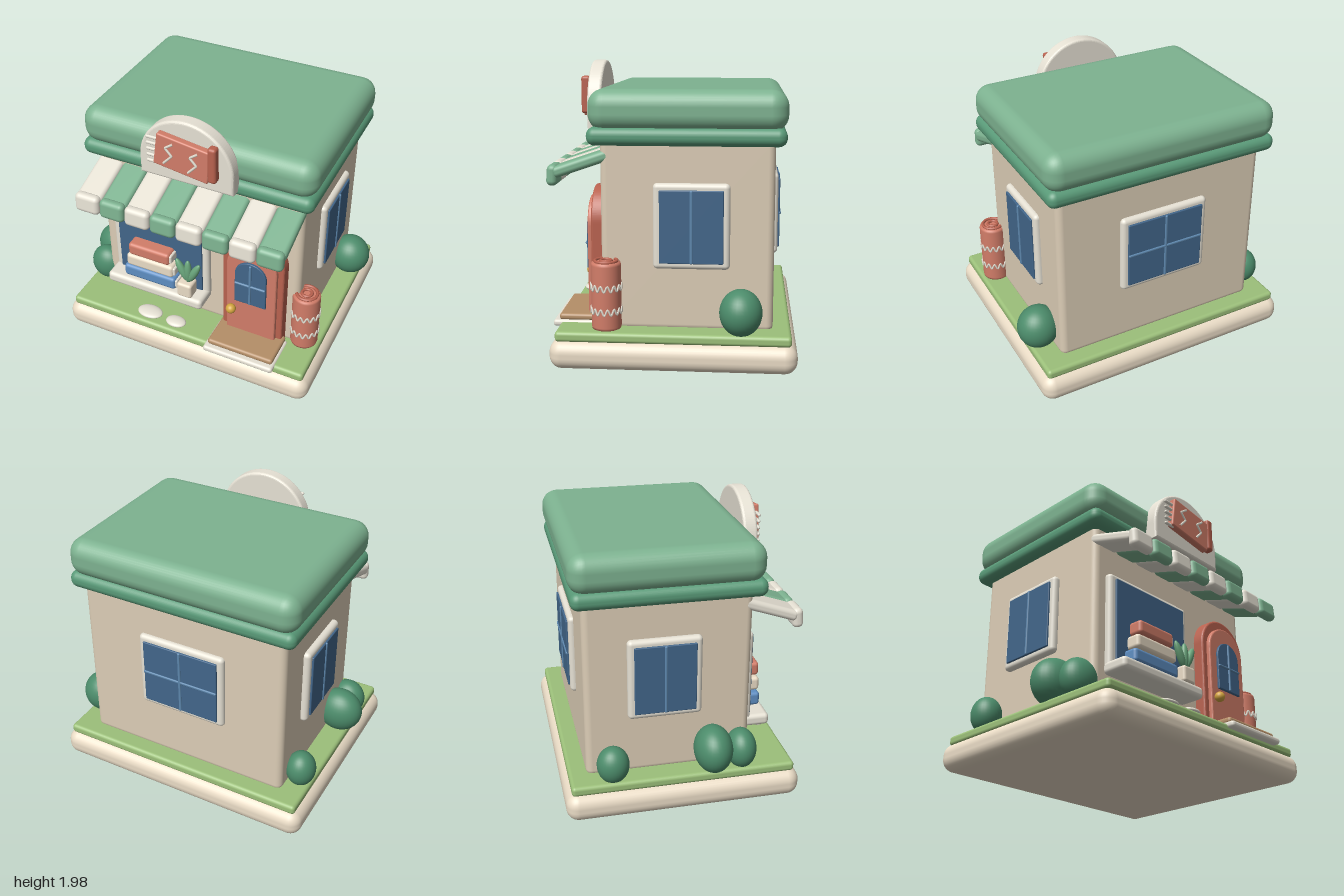
import * as THREE from 'three';
import { RoundedBoxGeometry } from 'three/addons/geometries/RoundedBoxGeometry.js';

const COLORS = {
  cream: 0xeadcc6, wall: 0xdccdb6, grass: 0x9cc07a, roof: 0x7db290, trim: 0x599a78,
  white: 0xe6e1d4, salmon: 0xd27d69, brick: 0xb9624f, glass: 0x42668a, bar: 0x5d87ad,
  gold: 0xd5a640, brown: 0xb58f68, bush: 0x4c8c6b, leaf: 0x6aa67c, blue: 0x5e8ec2,
};
const mats = {};
for (const k in COLORS) mats[k] = new THREE.MeshStandardMaterial({ color: COLORS[k] });

function add(parent, name, geo, color, x = 0, y = 0, z = 0) {
  const m = new THREE.Mesh(geo, mats[color]);
  m.name = name;
  m.position.set(x, y, z);
  parent.add(m);
  return m;
}

function group(parent, name, x = 0, y = 0, z = 0, ry = 0) {
  const g = new THREE.Group();
  g.name = name;
  g.position.set(x, y, z);
  g.rotation.y = ry;
  parent.add(g);
  return g;
}

// Rounded box given by its extents on each axis
function block(parent, name, color, [x0, x1], [y0, y1], [z0, z1], r) {
  const geo = new RoundedBoxGeometry(x1 - x0, y1 - y0, z1 - z0, 4, r);
  return add(parent, name, geo, color, (x0 + x1) / 2, (y0 + y1) / 2, (z0 + z1) / 2);
}

function ellipsoid(parent, name, color, [x, y, z], [rx, ry, rz]) {
  const m = add(parent, name, new THREE.SphereGeometry(1, 32, 20), color, x, y, z);
  m.scale.set(rx, ry, rz);
  return m;
}

// Round-topped slab, from y0 to y1 and z0 to z1, with a soft bevel inside those limits
function arch(parent, name, color, cx, width, y0, y1, z0, z1, bevel) {
  const r = width / 2 - bevel, cy = y1 - width / 2;
  const s = new THREE.Shape();
  s.moveTo(-r, y0 + bevel);
  s.lineTo(r, y0 + bevel);
  s.lineTo(r, cy);
  s.absarc(0, cy, r, 0, Math.PI, false);
  s.closePath();
  const geo = new THREE.ExtrudeGeometry(s, {
    depth: z1 - z0 - 2 * bevel, bevelThickness: bevel, bevelSize: bevel, bevelSegments: 4, curveSegments: 32,
  });
  return add(parent, name, geo, color, cx, 0, z0 + bevel);
}

// Framed window facing local +z; the wall lies at z = 0
function paneWindow(parent, name, w, h, cross) {
  block(parent, name + 'Frame', 'white', [-w / 2, w / 2], [-h / 2, h / 2], [-0.03, 0.035], 0.03);
  const gw = w / 2 - 0.042, gh = h / 2 - 0.042;
  block(parent, name + 'Glass', 'glass', [-gw, gw], [-gh, gh], [0, 0.048], 0.006);
  block(parent, name + 'UprightBar', 'bar', [-0.01, 0.01], [-gh, gh], [0.03, 0.056], 0.008);
  if (cross) block(parent, name + 'CrossBar', 'bar', [-gw, gw], [-0.01, 0.01], [0.03, 0.056], 0.008);
}

function tube(parent, name, color, pts, r, closed = false, segs = 48) {
  const curve = new THREE.CatmullRomCurve3(pts, closed, 'catmullrom', closed ? 0.5 : 0.1);
  return add(parent, name, new THREE.TubeGeometry(curve, segs, r, 6, closed), color);
}

function buildShell(root) {
  block(root, 'base', 'cream', [-0.96, 0.97], [0, 0.195], [-0.82, 0.8], 0.085);
  block(root, 'lawn', 'grass', [-0.915, 0.93], [0.185, 0.255], [-0.78, 0.76], 0.025);
  block(root, 'walls', 'wall', [-0.755, 0.77], [0.23, 1.5], [-0.66, 0.47], 0.045);
  block(root, 'roofTrim', 'trim', [-0.835, 0.845], [1.46, 1.58], [-0.73, 0.55], 0.055);
  block(root, 'roof', 'roof', [-0.84, 0.85], [1.55, 1.82], [-0.738, 0.545], 0.11);
}

function buildAwning(root) {
  const awning = group(root, 'awning');
  const step = 1.525 / 8;
  for (let i = 0; i < 8; i++) {
    const x = -0.755 + step * (i + 0.5), color = i % 2 ? 'roof' : 'white';
    const slope = add(awning, 'awningStripe', new RoundedBoxGeometry(step, 0.075, 0.4, 4, 0.03), color, x, 1.335, 0.595);
    slope.rotation.x = 0.33;
    const flap = add(awning, 'awningFlap', new RoundedBoxGeometry(step - 0.006, 0.14, 0.075, 4, 0.034), color, x, 1.257, 0.787);
    flap.rotation.x = -0.08;
  }
}

function buildSign(root) {
  const sign = group(root, 'sign');
  arch(sign, 'signBoard', 'white', 0.005, 0.67, 1.515, 1.98, 0.525, 0.625, 0.018);
  const cover = group(sign, 'signBook', 0.005, 1.742, 0.65);
  cover.rotation.z = -0.14;
  block(cover, 'signCover', 'salmon', [-0.195, 0.195], [-0.12, 0.12], [-0.03, 0.022], 0.012);
  for (const x of [-0.095, 0.08]) {
    const pts = [[0.025, 0.085], [-0.025, 0.035], [0.025, -0.01], [-0.025, -0.085]]
      .map(([px, py]) => new THREE.Vector3(x + px, py, 0.024));
    tube(cover, 'signZigzag', 'white', pts, 0.009);
  }
  block(sign, 'signSpine', 'brick', [0.183, 0.243], [1.615, 1.875], [0.615, 0.68], 0.02);
  for (let i = 0; i < 5; i++) {
    const page = add(sign, 'signPage', new THREE.CapsuleGeometry(0.011, 0.07, 4, 10), 'white', -0.215, 1.832 - i * 0.045, 0.65);
    page.rotation.z = Math.PI / 2;
  }
}

function buildShopWindow(root) {
  const shop = group(root, 'shopWindow');
  block(shop, 'shopFrame', 'white', [-0.66, 0.1], [0.45, 1.145], [0.44, 0.515], 0.03);
  block(shop, 'shopGlass', 'glass', [-0.61, 0.055], [0.49, 1.11], [0.47, 0.527], 0.006);
  block(shop, 'shopSill', 'white', [-0.665, 0.1], [0.425, 0.51], [0.45, 0.65], 0.03);
  // Stack of books
  [['blue', -0.535, -0.12, 0.515], ['cream', -0.51, -0.135, 0.622], ['salmon', -0.488, -0.16, 0.728]].forEach(([c, x0, x1, y]) => {
    block(shop, 'bookCover', c, [x0, x1], [y, y + 0.1], [0.5, 0.62], 0.025);
    block(shop, 'bookPages', 'white', [x1 - 0.05, x1 + 0.014], [y + 0.016, y + 0.084], [0.515, 0.605], 0.012);
  });
  // Potted plant
  block(shop, 'plantPot', 'cream', [-0.092, 0.022], [0.505, 0.625], [0.535, 0.645], 0.02);
  for (const s of [-1, 0, 1]) {
    const leaf = ellipsoid(shop, 'plantLeaf', 'leaf', [-0.022 + s * 0.047, 0.715, 0.59], [0.028, 0.1, 0.026]);
    leaf.rotation.z = -s * 0.45;
  }
}

function buildDoor(root) {
  const door = group(root, 'door');
  const cx = 0.457;
  arch(door, 'doorFrame', 'brick', cx, 0.455, 0.25, 1.157, 0.44, 0.55, 0.015);
  arch(door, 'doorPanel', 'salmon', cx, 0.37, 0.27, 1.085, 0.48, 0.58, 0.012);
  arch(door, 'doorGlass', 'glass', cx, 0.232, 0.595, 0.967, 0.55, 0.597, 0.006);
  block(door, 'doorUprightBar', 'bar', [cx - 0.009, cx + 0.009], [0.6, 0.955], [0.58, 0.608], 0.008);
  block(door, 'doorCrossBar', 'bar', [cx - 0.114, cx + 0.114], [0.76, 0.778], [0.58, 0.608], 0.008);
  ellipsoid(door, 'doorKnob', 'gold', [0.32, 0.517, 0.61], [0.036, 0.036, 0.036]);
  block(door, 'doormat', 'white', [0.19, 0.72], [0.222, 0.268], [0.5, 0.81], 0.02);
  block(door, 'doorstep', 'brown', [0.21, 0.705], [0.262, 0.308], [0.5, 0.77], 0.02);
}

function buildBarrel(root) {
  const barrel = group(root, 'barrel', 0.813, 0.255, 0.43);
  const profile = [[0, 0], [0.08, 0], [0.094, 0.006], [0.098, 0.022], [0.098, 0.43], [0.094, 0.446], [0.08, 0.452], [0, 0.452]]
    .map(([r, y]) => new THREE.Vector2(r, y));
  add(barrel, 'barrelBody', new THREE.LatheGeometry(profile, 40), 'salmon');
  for (const r of [0.072, 0.035]) {
    add(barrel, 'barrelTopRing', new THREE.TorusGeometry(r, 0.011, 8, 36), 'brick', 0, 0.456, 0).rotation.x = Math.PI / 2;
  }
  for (const y of [0.13, 0.287]) {
    const pts = [];
    for (let i = 0; i < 28; i++) {
      const a = (i / 28) * Math.PI * 2;
      pts.push(new THREE.Vector3(Math.cos(a) * 0.1, y + (i % 2 ? 0.02 : -0.02), Math.sin(a) * 0.1));
    }
    tube(barrel, 'barrelZigzag', 'white', pts, 0.007, true, 168);
  }
}

function buildGarden(root) {
  const garden = group(root, 'garden');
  [
    [[0.85, 0.39, -0.45], [0.148, 0.155, 0.14]],
    [[-0.83, 0.39, 0.2], [0.17, 0.165, 0.132]],
    [[-0.815, 0.365, 0.4], [0.13, 0.14, 0.105]],
    [[-0.83, 0.355, -0.49], [0.105, 0.13, 0.11]],
  ].forEach(([p, r]) => ellipsoid(garden, 'bush', 'bush', p, r));
  ellipsoid(garden, 'steppingStone', 'white', [-0.305, 0.275, 0.67], [0.097, 0.023, 0.065]);
  ellipsoid(garden, 'steppingStone', 'white', [-0.087, 0.275, 0.68], [0.077, 0.023, 0.055]);
}

export function createModel() {
  const root = new THREE.Group();
  root.name = 'bookshop';
  buildShell(root);
  buildAwning(root);
  buildSign(root);
  buildShopWindow(root);
  buildDoor(root);
  buildBarrel(root);
  buildGarden(root);
  // Side and back windows
  const y = 0.938;
  paneWindow(group(root, 'leftWindow', 0.77, y, -0.125, Math.PI / 2), 'leftWindow', 0.5, 0.565, false);
  paneWindow(group(root, 'rightWindow', -0.765, y, -0.125, -Math.PI / 2), 'rightWindow', 0.5, 0.565, false);
  paneWindow(group(root, 'backWindow', 0, y, -0.66, Math.PI), 'backWindow', 0.65, 0.565, true);
  return root;
}
